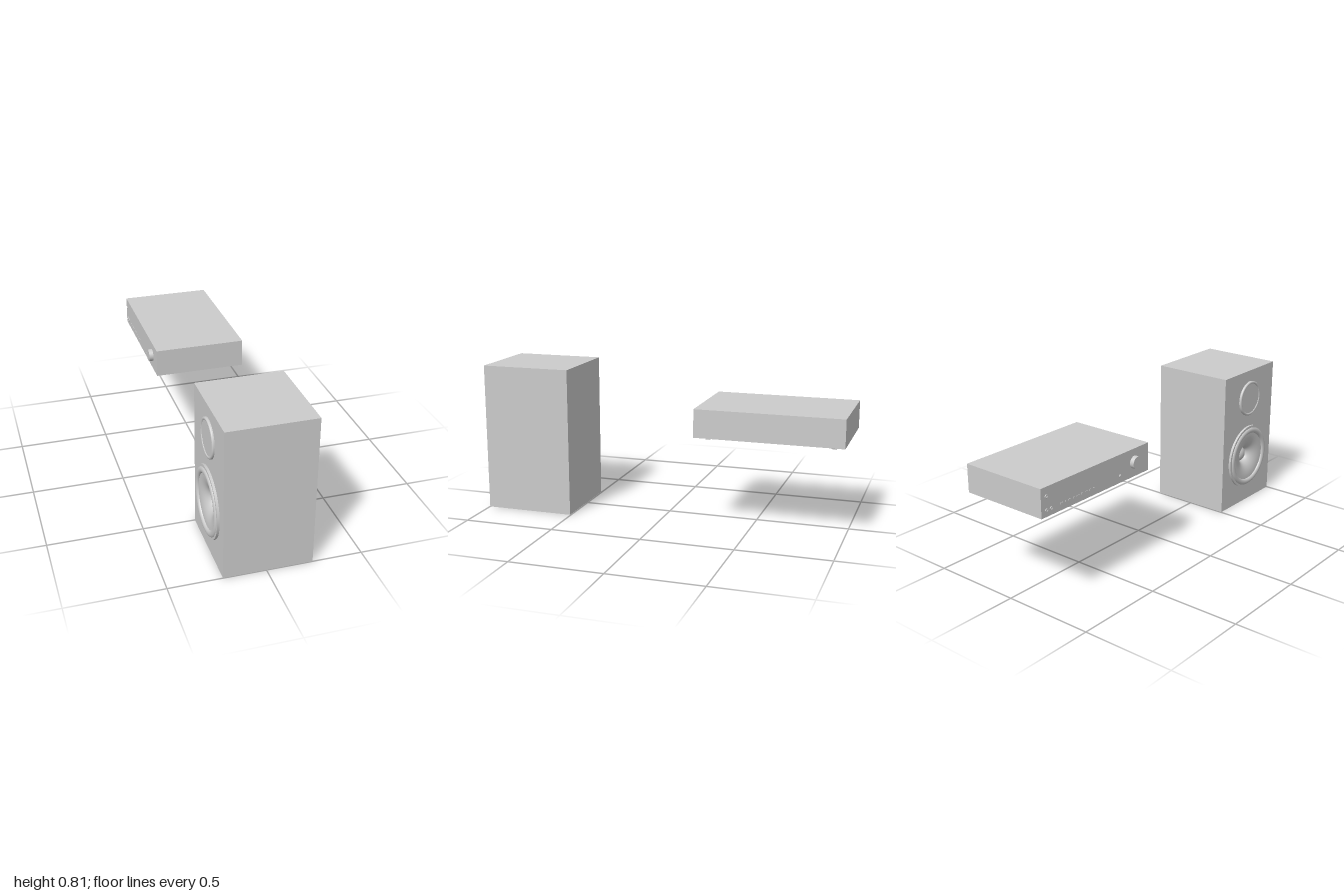
import * as THREE from 'three';

const grey = new THREE.MeshStandardMaterial({ color: 0xcccccc });
const greyDouble = new THREE.MeshStandardMaterial({ color: 0xcccccc, side: THREE.DoubleSide });

function add(parent, name, geometry, x, y, z, material = grey) {
  const mesh = new THREE.Mesh(geometry, material);
  mesh.name = name;
  mesh.position.set(x, y, z);
  parent.add(mesh);
  return mesh;
}

// Turned part whose axis points out of the -x face; points are [radius, distance outwards]
function turned(parent, name, points, x, y, z, segments = 64) {
  const profile = points.map(([r, h]) => new THREE.Vector2(r, h));
  const mesh = add(parent, name, new THREE.LatheGeometry(profile, segments), x, y, z, greyDouble);
  mesh.rotation.z = Math.PI / 2;
  return mesh;
}

// Quarter or half round as profile points
function arc(cr, ch, rr, rh, from, to, n = 8) {
  return Array.from({ length: n + 1 }, (_, i) => {
    const a = from + (to - from) * i / n;
    return [cr + rr * Math.cos(a), ch + rh * Math.sin(a)];
  });
}

function createSpeaker() {
  const speaker = new THREE.Group();
  speaker.name = 'speaker';
  const left = -0.222, right = 0.24, height = 0.813, zBack = 0.505, depth = 0.495;
  const zMid = zBack + depth / 2, wooferY = 0.284, baffle = 0.08;

  // Cabinet body behind the baffle
  add(speaker, 'cabinet', new THREE.BoxGeometry(right - left - baffle, height, depth),
    (left + baffle + right) / 2, height / 2, zMid);

  // Baffle with a round opening for the woofer
  const shape = new THREE.Shape();
  shape.moveTo(-depth / 2, 0);
  shape.lineTo(depth / 2, 0);
  shape.lineTo(depth / 2, height);
  shape.lineTo(-depth / 2, height);
  shape.closePath();
  shape.holes.push(new THREE.Path().absarc(0, wooferY, 0.165, 0, Math.PI * 2, true));
  const front = add(speaker, 'baffle',
    new THREE.ExtrudeGeometry(shape, { depth: baffle, bevelEnabled: false, curveSegments: 48 }),
    left + baffle, 0, zMid);
  front.rotation.y = -Math.PI / 2;

  // Woofer: flange, rolled surround, flared cone and dust cap
  const woofer = new THREE.Group();
  woofer.name = 'woofer';
  speaker.add(woofer);
  turned(woofer, 'wooferFlangeEdge', [[0.189, 0], [0.189, 0.013]], left, wooferY, zMid);
  turned(woofer, 'wooferFlange', [[0.189, 0.013], [0.172, 0.013]], left, wooferY, zMid);
  turned(woofer, 'wooferSurround', arc(0.16, 0.009, 0.017, 0.012, 0, Math.PI, 14), left, wooferY, zMid);
  const flare = arc(0.143, -0.055, 0.105, 0.064, Math.PI / 2, Math.PI, 12);
  turned(woofer, 'wooferCone', flare.map(([r, h]) => [r, h]), left, wooferY, zMid);
  turned(woofer, 'dustCap', arc(0, -0.055, 0.044, 0.03, 0, Math.PI / 2, 10), left, wooferY, zMid, 48);

  // Tweeter: round-edged plate with a flat face
  const tweeter = new THREE.Group();
  tweeter.name = 'tweeter';
  speaker.add(tweeter);
  const tweeterY = 0.645;
  turned(tweeter, 'tweeterRim',
    [[0.103, 0], ...arc(0.095, 0.006, 0.008, 0.007, 0, Math.PI, 10)], left, tweeterY, zMid);
  turned(tweeter, 'tweeterFace', [[0.089, 0.009], [0, 0.009]], left, tweeterY, zMid);
  return speaker;
}

function createAmplifier() {
  const amplifier = new THREE.Group();
  amplifier.name = 'amplifier';
  const left = -0.238, right = 0.26, base = 0.5, top = 0.652, zBack = -1, zFront = -0.212;

  // Case
  add(amplifier, 'case', new THREE.BoxGeometry(right - left, top - base, zFront - zBack),
    (left + right) / 2, (top + base) / 2, (zFront + zBack) / 2);

  // Four feet
  for (const x of [-0.185, 0.207]) {
    for (const z of [-0.938, -0.278]) {
      add(amplifier, 'foot', new THREE.CylinderGeometry(0.018, 0.014, 0.014, 24), x, base - 0.007, z);
    }
  }

  // Volume knob with a softened edge
  const knob = new THREE.CylinderGeometry(0.033, 0.034, 0.023, 40);
  add(amplifier, 'volumeKnob', knob, left - 0.0115, 0.579, -0.325).rotation.z = Math.PI / 2;

  // Power button
  const button = new THREE.CylinderGeometry(0.008, 0.008, 0.007, 24);
  add(amplifier, 'powerButton', button, left - 0.0035, 0.538, -0.437).rotation.z = Math.PI / 2;

  // Sockets
  for (const [y, z] of [[0.605, -0.965], [0.535, -0.965], [0.535, -0.935]]) {
    turned(amplifier, 'socket',
      [[0.009, 0], [0.009, 0.004], [0.006, 0.004], [0.006, 0.001], [0, 0.001]], left, y, z, 24);
  }

  // Row of small indicator marks
  for (let i = 0; i < 9; i++) {
    const long = i % 2 === 0;
    add(amplifier, 'indicator', new THREE.BoxGeometry(0.003, long ? 0.006 : 0.009, long ? 0.02 : 0.007),
      left - 0.001, 0.537, -0.865 + i * 0.029);
  }
  return amplifier;
}

export function createModel() {
  const model = new THREE.Group();
  model.name = 'stereoSet';
  model.add(createSpeaker(), createAmplifier());
  return model;
}
